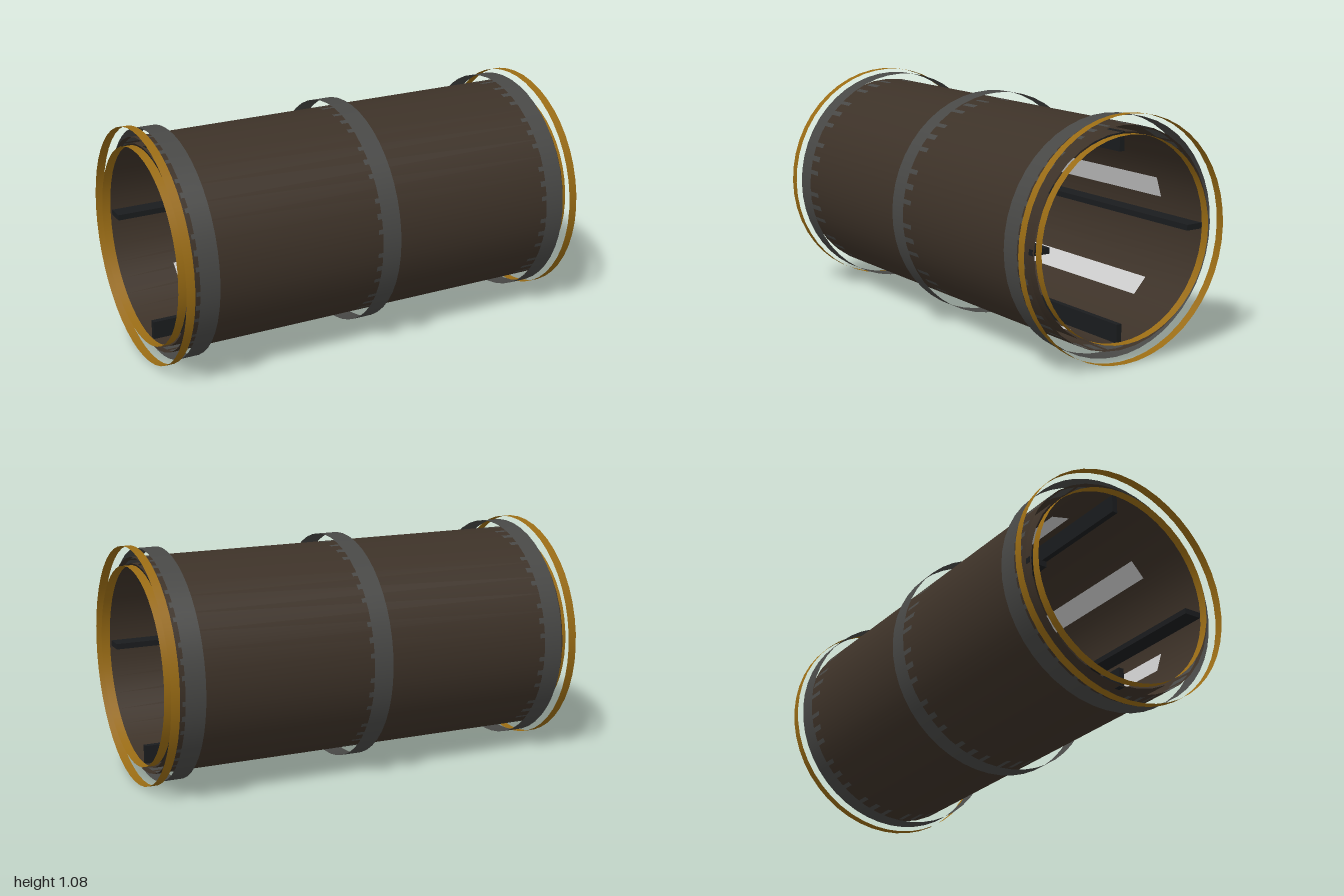
import * as THREE from 'three';

const CENTRE_Y = 0.54;

const mat = (color) => new THREE.MeshStandardMaterial({ color, side: THREE.DoubleSide });

export function createModel() {
  const model = new THREE.Group();
  model.name = 'tunnelSection';
  const body = new THREE.Group();
  body.name = 'body';
  body.position.y = CENTRE_Y;
  model.add(body);

  const hullMat = mat(0x3d3228);
  const bandMat = mat(0x484846);
  const goldMat = mat(0x9a6c14);
  const railMat = mat(0x1a1c1e);
  const panelMat = mat(0xcccccc);

  // Two concentric open walls along x
  function doubleWall(name, outer, inner, length, x, sides, material) {
    const group = new THREE.Group();
    group.name = name;
    for (const [label, radius] of [['Outer', outer], ['Inner', inner]]) {
      const geometry = new THREE.CylinderGeometry(radius, radius, length, sides, 1, true);
      geometry.rotateZ(Math.PI / 2);
      const mesh = new THREE.Mesh(geometry, material);
      mesh.name = name + label;
      group.add(mesh);
    }
    group.position.x = x;
    body.add(group);
  }

  // Place a part on the inside wall, facing the axis
  function onWall(name, geometry, material, angle, radius) {
    const mesh = new THREE.Mesh(geometry, material);
    mesh.name = name;
    mesh.position.set(0, radius * Math.sin(angle), radius * Math.cos(angle));
    mesh.rotation.x = -angle;
    body.add(mesh);
  }

  // Tube shell
  doubleWall('hull', 0.488, 0.46, 1.92, 0, 36, hullMat);

  // Reinforcing bands
  for (const x of [-0.885, 0, 0.885]) doubleWall('band', 0.526, 0.487, 0.092, x, 48, bandMat);

  // End rings
  for (const x of [-0.98, 0.98]) doubleWall('endRing', 0.54, 0.452, 0.04, x, 48, goldMat);

  // Four inner rails
  const rail = new THREE.BoxGeometry(1.9, 0.026, 0.085);
  for (let i = 0; i < 4; i++) onWall('innerRail', rail, railMat, i * Math.PI / 2, 0.418);

  // Six flat light panels
  const panel = new THREE.PlaneGeometry(1.38, 0.096);
  for (let i = 0; i < 6; i++) onWall('lightPanel', panel, panelMat, 0.75 + i * Math.PI / 3, 0.454);

  return model;
}
